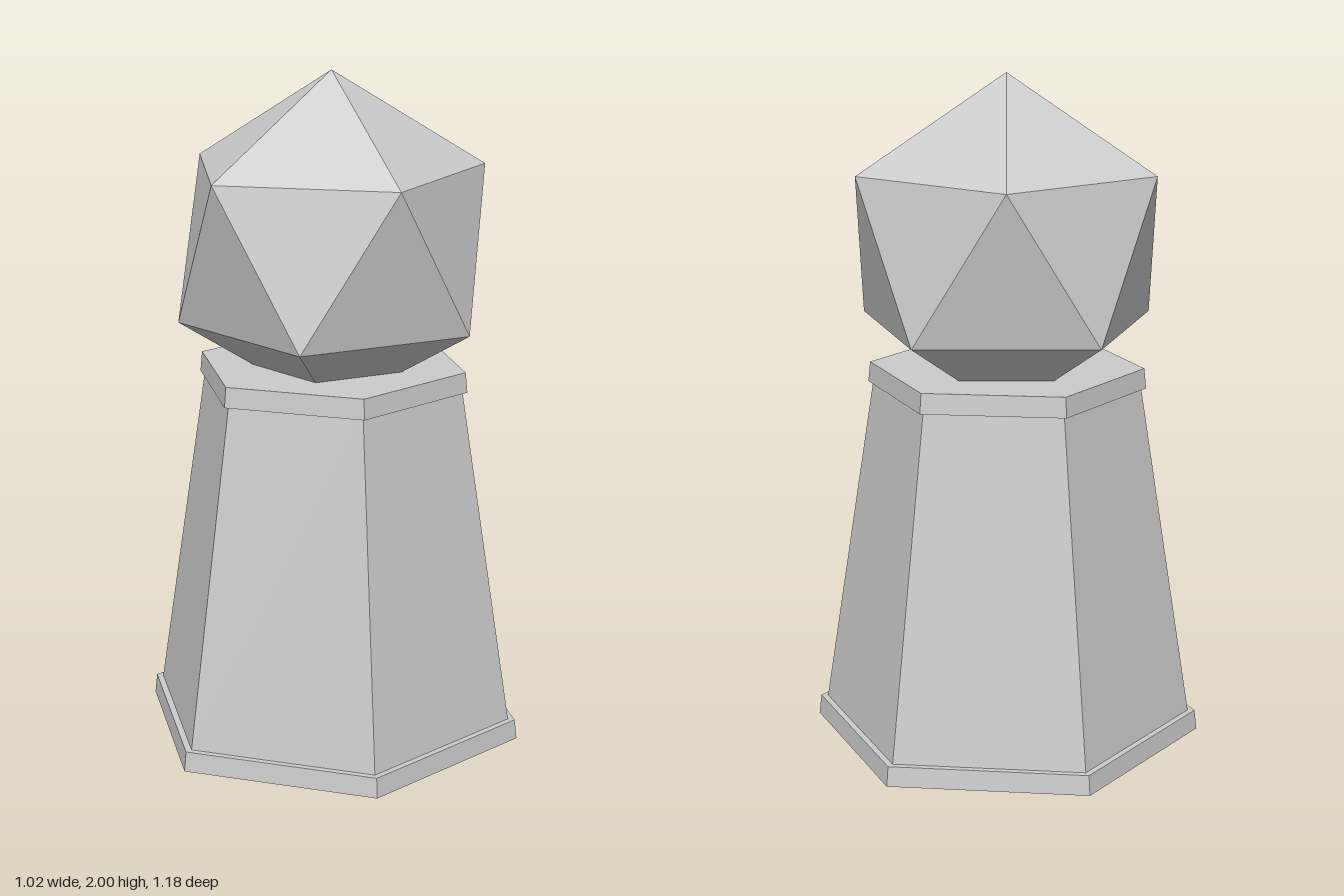
import * as THREE from 'three';

export function createModel() {
  const group = new THREE.Group();
  const material = new THREE.MeshStandardMaterial({ color: 0xcccccc, flatShading: true });

  const add = (name, geometry, y) => {
    const mesh = new THREE.Mesh(geometry, material);
    mesh.name = name;
    mesh.position.y = y;
    group.add(mesh);
  };

  // Six-sided tapered section with corners on the z axis
  const hexSection = (name, bottomRadius, topRadius, y0, y1) =>
    add(name, new THREE.CylinderGeometry(topRadius, bottomRadius, y1 - y0, 6), (y0 + y1) / 2);

  // Pedestal
  hexSection('basePlinth', 0.588, 0.581, 0, 0.06);
  hexSection('pedestalBody', 0.56, 0.4, 0.06, 1.08);
  hexSection('topCap', 0.415, 0.409, 1.077, 1.137);

  // Faceted ball, tipped so one vertex points straight up, sunk into the cap
  const radius = 0.504;
  const ball = new THREE.IcosahedronGeometry(radius, 0);
  ball.rotateX(-Math.atan((1 + Math.sqrt(5)) / 2));
  add('facetedBall', ball, 2 - radius);

  return group;
}
